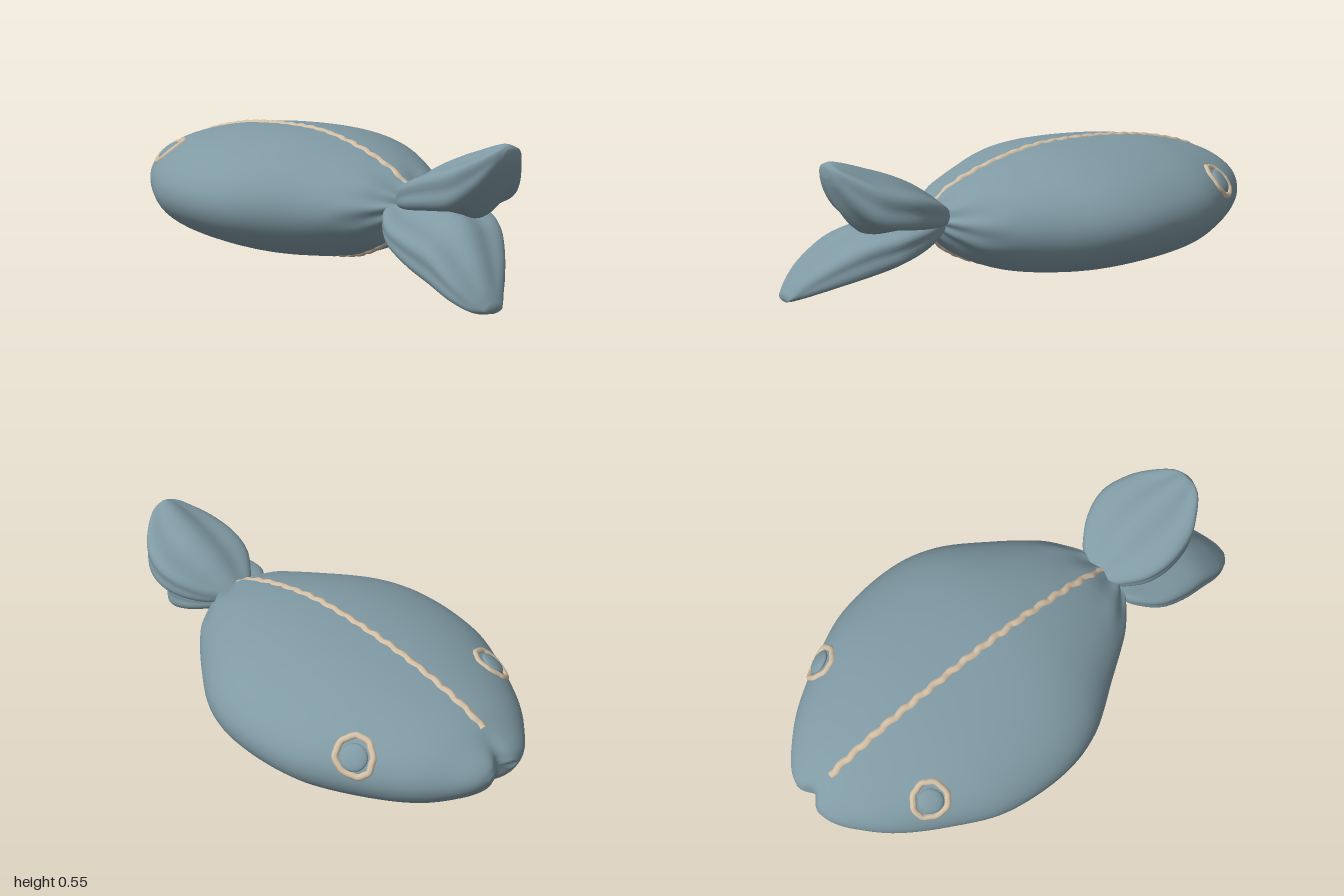
import * as THREE from 'three';

const TAU = Math.PI * 2;

// Smooth cross-section sampler; each row is [x, top y, bottom y, centre z, half width]
function makeProfile(rows) {
  const a = new THREE.CatmullRomCurve3(rows.map(r => new THREE.Vector3(r[0], r[1], r[2])), false, 'catmullrom', 0.5);
  const b = new THREE.CatmullRomCurve3(rows.map(r => new THREE.Vector3(r[0], r[3], r[4])), false, 'catmullrom', 0.5);
  return t => {
    const p = a.getPoint(t), q = b.getPoint(t);
    return { x: p.x, yc: (p.y + p.z) / 2, hy: (p.y - p.z) / 2, zc: q.y, hz: q.z };
  };
}

// Closed skin over elliptical sections, with an optional vertex rule
function loft(profile, steps, sides, rule = () => {}) {
  const pos = [], index = [];
  const add = (x, y, z, a, t) => {
    const v = new THREE.Vector3(x, y, z);
    rule(v, a, t);
    pos.push(v.x, v.y, v.z);
  };
  for (let i = 0; i <= steps; i++) {
    const t = i / steps, s = profile(t);
    for (let j = 0; j < sides; j++) {
      const a = j / sides * TAU;
      add(s.x, s.yc + s.hy * Math.cos(a), s.zc + s.hz * Math.sin(a), a, t);
    }
  }
  for (const t of [0, 1]) {
    const s = profile(t);
    add(s.x, s.yc, s.zc, 0, t);
  }
  const first = (steps + 1) * sides, last = steps * sides;
  for (let j = 0; j < sides; j++) {
    const k = (j + 1) % sides;
    for (let i = 0; i < steps; i++) {
      const r = i * sides, n = r + sides;
      index.push(r + j, r + k, n + j, r + k, n + k, n + j);
    }
    index.push(first, k, j, first + 1, last + j, last + k);
  }
  const g = new THREE.BufferGeometry();
  g.setAttribute('position', new THREE.Float32BufferAttribute(pos, 3));
  g.setIndex(index);
  g.computeVertexNormals();
  return g;
}

const bodyProfile = makeProfile([
  [-1, 0.29, 0.25, 0, 0.07], [-0.98, 0.325, 0.205, 0, 0.13], [-0.93, 0.36, 0.155, 0, 0.2],
  [-0.82, 0.415, 0.09, 0, 0.31], [-0.65, 0.46, 0.042, 0, 0.42], [-0.45, 0.49, 0.017, 0, 0.515],
  [-0.2, 0.502, 0.009, 0, 0.543], [0, 0.492, 0.014, 0, 0.5], [0.2, 0.45, 0.045, 0, 0.375],
  [0.35, 0.395, 0.11, 0.01, 0.265], [0.43, 0.345, 0.18, 0.02, 0.17], [0.48, 0.31, 0.24, 0.03, 0.09],
]);
const upperTail = makeProfile([
  [0.43, 0.33, 0.27, 0.01, 0.07], [0.48, 0.365, 0.262, 0, 0.13], [0.56, 0.415, 0.265, -0.005, 0.19],
  [0.66, 0.462, 0.272, -0.01, 0.212], [0.77, 0.503, 0.285, -0.005, 0.185],
  [0.84, 0.53, 0.355, 0, 0.13], [0.885, 0.543, 0.44, 0.005, 0.075], [0.902, 0.53, 0.49, 0.005, 0.03],
]);
const lowerTail = makeProfile([
  [0.43, 0.3, 0.24, 0.04, 0.08], [0.48, 0.305, 0.21, 0.05, 0.15], [0.57, 0.295, 0.165, 0.06, 0.21],
  [0.68, 0.285, 0.115, 0.07, 0.225], [0.79, 0.255, 0.07, 0.1, 0.195], [0.89, 0.175, 0.035, 0.145, 0.145],
  [0.96, 0.095, 0.012, 0.175, 0.085], [0.997, 0.04, 0.013, 0.18, 0.04],
]);

// Body section at a given x
function sectionAt(x) {
  let lo = 0, hi = 1;
  for (let i = 0; i < 30; i++) {
    const m = (lo + hi) / 2;
    if (bodyProfile(m).x < x) lo = m; else hi = m;
  }
  return bodyProfile(lo);
}

// Point on the top or bottom skin at x, z
function onBody(x, z, side) {
  const s = sectionAt(x), k = (z - s.zc) / s.hz;
  return new THREE.Vector3(x, s.yc + side * s.hy * Math.sqrt(Math.max(0, 1 - k * k)), z);
}

// Slide a nearby point onto the skin
function snap(p) {
  const s = sectionAt(p.x);
  const a = Math.atan2((p.z - s.zc) / s.hz, (p.y - s.yc) / s.hy);
  return new THREE.Vector3(p.x, s.yc + s.hy * Math.cos(a), s.zc + s.hz * Math.sin(a));
}

export function createModel() {
  const group = new THREE.Group();
  const cloth = new THREE.MeshStandardMaterial({ name: 'blueGreyCloth', color: 0x809aa4 });
  const thread = new THREE.MeshStandardMaterial({ name: 'creamThread', color: 0xd3c0a6 });
  const add = (name, geometry, material) => {
    const mesh = new THREE.Mesh(geometry, material);
    mesh.name = name;
    group.add(mesh);
    return mesh;
  };

  // Plump body with a pinched mouth and gathers towards the tail
  add('body', loft(bodyProfile, 72, 72, (v, a, t) => {
    const nose = Math.max(0, (-0.88 - v.x) / 0.12);
    v.x += 0.035 * nose * Math.exp(-((v.z / 0.035) ** 2));
    const gather = Math.max(0, (v.x - 0.3) / 0.18) * 0.012 * Math.cos(9 * a);
    v.y += gather * Math.cos(a);
    v.z += gather * Math.sin(a);
  }), cloth);

  // Pillow-like tail lobes, pleated at the root
  const pleat = slope => (v, a, t) => {
    const fold = 0.012 * Math.sin(Math.PI * Math.min(1, t * 1.1)) * Math.cos(6 * a);
    v.y += fold * Math.cos(a) + slope * Math.sin(a) * Math.sin(Math.PI * t);
    v.z += fold * Math.sin(a);
  };
  add('upperTailLobe', loft(upperTail, 40, 48, pleat(0)), cloth);
  add('lowerTailLobe', loft(lowerTail, 40, 48, pleat(-0.025)), cloth);

  // Stitched seams along the back and belly
  const seam = (name, x0, x1, z0, z1, side) => {
    const pts = [];
    for (let i = 0; i <= 60; i++) {
      const t = i / 60;
      const p = onBody(x0 + (x1 - x0) * t, z0 + (z1 - z0) * t + 0.004 * Math.sin(i * 1.9), side);
      p.y -= side * (0.009 + 0.002 * Math.sin(i * 2.3));
      pts.push(p);
    }
    add(name, new THREE.TubeGeometry(new THREE.CatmullRomCurve3(pts), 180, 0.017, 8), thread);
  };
  seam('backSeam', -0.88, 0.45, 0.012, 0.025, 1);
  seam('bellySeam', -0.75, 0.45, 0.0, 0.07, -1);

  // Embroidered eye rings around small padded eyes
  const eye = (side, x, z) => {
    const c = onBody(x, z, 1);
    const s = sectionAt(x);
    const across = new THREE.Vector3(0, -(z - s.zc) / s.hz ** 2, (c.y - s.yc) / s.hy ** 2).normalize();
    const along = snap(c.clone().add(new THREE.Vector3(0.03, 0.01, 0)))
      .sub(snap(c.clone().add(new THREE.Vector3(-0.03, -0.01, 0)))).normalize();
    const normal = across.clone().cross(along).normalize();
    const pts = [];
    for (let i = 0; i < 24; i++) {
      const u = i / 24 * TAU, r = 0.069 + 0.002 * Math.sin(i * 2.1);
      const p = c.clone().addScaledVector(along, r * Math.cos(u)).addScaledVector(across, r * Math.sin(u));
      pts.push(snap(p).addScaledVector(normal, -0.003));
    }
    const curve = new THREE.CatmullRomCurve3(pts, true);
    add(side + 'EyeRing', new THREE.TubeGeometry(curve, 72, 0.013, 8, true), thread);
    const pad = add(side + 'Eye', new THREE.SphereGeometry(0.05, 24, 12), cloth);
    pad.scale.z = 0.3;
    pad.position.copy(c);
    pad.quaternion.setFromUnitVectors(new THREE.Vector3(0, 0, 1), normal);
  };
  eye('front', -0.66, 0.325);
  eye('back', -0.645, -0.385);

  return group;
}
